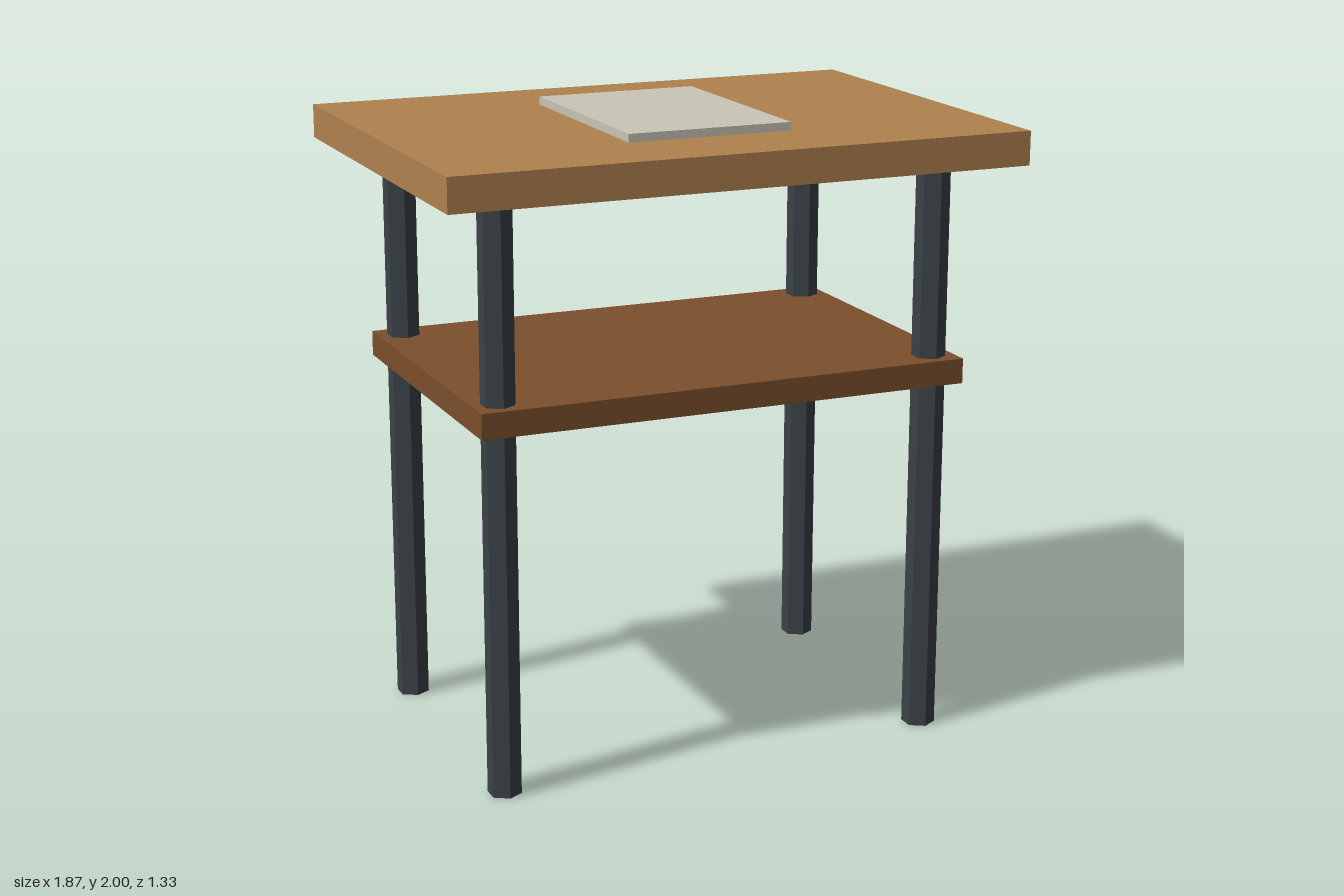
import * as THREE from 'three';

const material = (name, color, extra = {}) => {
  const m = new THREE.MeshStandardMaterial({ color, ...extra });
  m.name = name;
  return m;
};

export function createModel() {
  const model = new THREE.Group();
  model.name = 'sideTable';

  const lightWood = material('light wood', 0xb0824f);
  const darkWood = material('dark wood', 0x7b4f2c);
  const paper = material('pale paper', 0xc9c5b6);
  const metal = material('dark metal', 0x3a4146, { flatShading: true });

  // Flat slab resting with its underside at the given height
  const slab = (name, w, h, d, bottom, mat) => {
    const mesh = new THREE.Mesh(new THREE.BoxGeometry(w, h, d), mat);
    mesh.name = name;
    mesh.position.y = bottom + h / 2;
    model.add(mesh);
  };
  slab('tableTop', 1.867, 0.107, 1.333, 1.867, lightWood);
  slab('lowerShelf', 1.6, 0.08, 1.067, 1.16, darkWood);
  slab('topPad', 0.533, 0.027, 0.747, 1.973, paper);

  // Four six-sided legs passing through the shelf
  const legGeometry = new THREE.CylinderGeometry(0.0533, 0.0533, 1.867, 6);
  for (const [sx, side] of [[1, 'Left'], [-1, 'Right']]) {
    for (const [sz, end] of [[1, 'front'], [-1, 'back']]) {
      const leg = new THREE.Mesh(legGeometry, metal);
      leg.name = `${end}${side}Leg`;
      leg.position.set(sx * 0.72, 0.9335, sz * 0.453);
      model.add(leg);
    }
  }
  return model;
}
